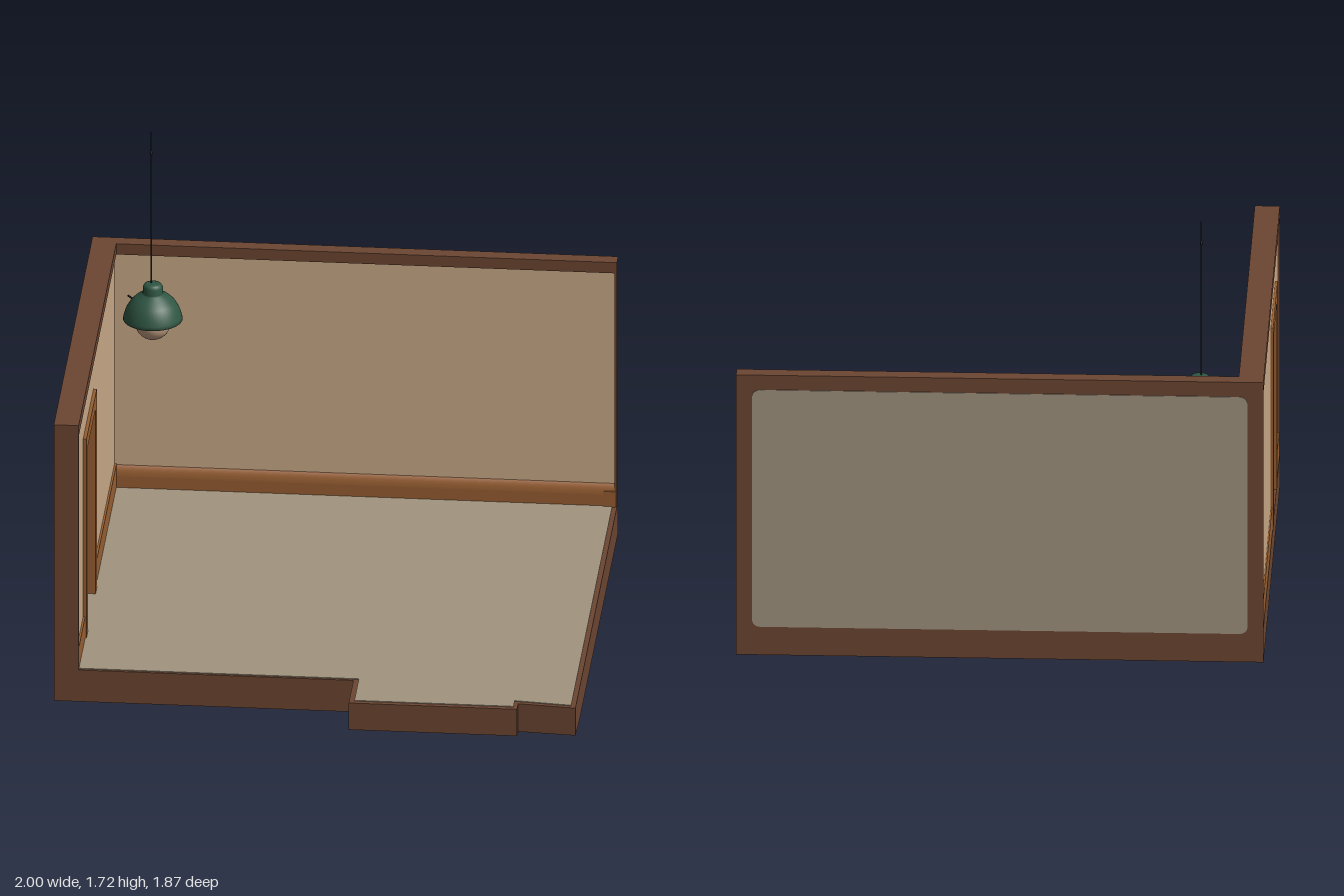
import * as THREE from 'three';

const mat = (name, color, side = THREE.FrontSide) => {
  const m = new THREE.MeshStandardMaterial({ color, side });
  m.name = name;
  return m;
};

export function createModel() {
  const brown = mat('dark wood', 0x6d4733);
  const wood = mat('orange wood', 0x985f32);
  const plaster = mat('tan plaster', 0xcbab89);
  const taupe = mat('taupe floor', 0xa29580);
  const green = mat('green enamel', 0x2f5643, THREE.DoubleSide);
  const bulbMat = mat('warm bulb', 0xc4a084);
  const dark = mat('black cord', 0x1c2220, THREE.DoubleSide);

  const model = new THREE.Group();
  model.name = 'roomCorner';

  const add = (parent, name, geo, material) => {
    const mesh = new THREE.Mesh(geo, material);
    mesh.name = name;
    parent.add(mesh);
    return mesh;
  };
  // Box given by its lowest and highest corner
  const box = (parent, name, material, [x0, y0, z0], [x1, y1, z1]) =>
    add(parent, name, new THREE.BoxGeometry(x1 - x0, y1 - y0, z1 - z0)
      .translate((x0 + x1) / 2, (y0 + y1) / 2, (z0 + z1) / 2), material);
  // Horizontal plate from an outline of [x, z] points
  const plate = (outline, y0, y1) => {
    const shape = new THREE.Shape(outline.map(([x, z]) => new THREE.Vector2(x, -z)));
    return new THREE.ExtrudeGeometry(shape, { depth: y1 - y0, bevelEnabled: false })
      .rotateX(-Math.PI / 2).translate(0, y0, 0);
  };
  const group = (name) => {
    const g = new THREE.Group();
    g.name = name;
    model.add(g);
    return g;
  };

  const F = 0.135, TOP = 1.16, BACK = -0.935, FRONT = 0.735;

  // Floor slab with a stepped front whose underside rises slightly
  const floor = group('floor');
  box(floor, 'slab', brown, [-1, 0.003, BACK], [1, F, FRONT]);
  const step = plate([[0.14, FRONT], [0.14, 0.935], [0.78, 0.935], [0.78, 0.885], [1, 0.905], [1, FRONT]], 0, F);
  const p = step.attributes.position;
  for (let i = 0; i < p.count; i++) {
    if (p.getY(i) < 0.01) p.setY(i, 0.003 + 0.02 * (p.getZ(i) - FRONT) / 0.2);
  }
  step.computeVertexNormals();
  add(floor, 'frontStep', step, brown);
  add(floor, 'floorSurface', plate([[-0.99, BACK + 0.02], [-0.99, 0.725], [0.16, 0.725], [0.16, 0.916],
    [0.765, 0.916], [0.765, 0.865], [0.982, 0.887], [0.982, BACK + 0.02]], F - 0.01, F + 0.003), taupe);
  box(floor, 'underside', taupe, [-0.98, 0, BACK + 0.02], [0.98, 0.006, FRONT - 0.01]);

  // Back wall: plaster inside, framed panel outside
  const backWall = group('backWall');
  box(backWall, 'core', brown, [-1, F, BACK], [1, TOP, -0.905]);
  box(backWall, 'plasterFace', plaster, [-0.92, F, -0.906], [0.992, 1.12, -0.895]);
  box(backWall, 'topTrim', brown, [-1, 1.115, -0.906], [1, TOP, -0.88]);
  box(backWall, 'endPost', brown, [0.99, F, -0.906], [1, TOP, -0.88]);
  const bx = 0.94, by0 = 0.12, by1 = 1.1, r = 0.035;
  const panel = new THREE.Shape();
  panel.moveTo(-bx + r, by0).lineTo(bx - r, by0).quadraticCurveTo(bx, by0, bx, by0 + r)
    .lineTo(bx, by1 - r).quadraticCurveTo(bx, by1, bx - r, by1)
    .lineTo(-bx + r, by1).quadraticCurveTo(-bx, by1, -bx, by1 - r)
    .lineTo(-bx, by0 + r).quadraticCurveTo(-bx, by0, -bx + r, by0);
  add(backWall, 'outerPanel', new THREE.ExtrudeGeometry(panel, { depth: 0.006, bevelEnabled: false })
    .translate(0, 0, BACK - 0.003), taupe);

  // Rounded skirting along the back wall
  const skirt = new THREE.Shape();
  skirt.moveTo(0, 0).lineTo(0.02, 0).lineTo(0.02, 0.05).quadraticCurveTo(0.018, 0.085, 0, 0.095).closePath();
  add(backWall, 'skirting', new THREE.ExtrudeGeometry(skirt, { depth: 1.9, bevelEnabled: false })
    .rotateY(-Math.PI / 2).scale(1, 1, 1).rotateY(Math.PI).rotateY(Math.PI)
    .translate(0.99, F, -0.9), wood);
  box(backWall, 'skirtingEnd', wood, [0.95, F, -0.9], [0.992, 0.2, -0.876]);

  // Left-hand wall with the doorway; trims stand proud on both faces
  const sideWall = group('doorWall');
  const doorZ0 = 0.01, doorZ1 = 0.455, openZ0 = 0.065, openZ1 = 0.395, doorTop = 0.972, openTop = 0.915;
  box(sideWall, 'wallRear', plaster, [-0.992, F, BACK + 0.01], [-0.913, 1.12, doorZ0 + 0.02]);
  box(sideWall, 'wallFront', plaster, [-0.992, F, doorZ1 - 0.02], [-0.913, 1.12, FRONT - 0.005]);
  box(sideWall, 'wallOverDoor', plaster, [-0.992, doorTop - 0.02, doorZ0], [-0.913, 1.12, doorZ1]);
  box(sideWall, 'topTrim', brown, [-1, 1.115, BACK], [-0.905, TOP, FRONT]);
  box(sideWall, 'frontPost', brown, [-1, F - 0.01, FRONT - 0.006], [-0.905, TOP, FRONT]);
  box(sideWall, 'cornerPost', brown, [-1, F, BACK], [-0.95, TOP, BACK + 0.015]);
  box(sideWall, 'skirtingRear', wood, [-0.998, F, BACK + 0.012], [-0.905, 0.23, doorZ0 + 0.01]);
  box(sideWall, 'skirtingFront', wood, [-0.998, F, doorZ1 - 0.01], [-0.905, 0.226, FRONT - 0.005]);

  // Door frame
  const frame = new THREE.Shape([[doorZ0, F], [openZ0, F], [openZ0, openTop], [openZ1, openTop],
    [openZ1, F], [doorZ1, F], [doorZ1, doorTop], [doorZ0, doorTop]].map(([z, y]) => new THREE.Vector2(-z, y)));
  add(sideWall, 'doorFrame', new THREE.ExtrudeGeometry(frame, { depth: 0.102, bevelEnabled: false })
    .rotateY(Math.PI / 2).translate(-1.002, 0, 0), wood);

  // Hanging lamp
  const lamp = group('lamp');
  lamp.position.set(-0.75, 0, -0.7);
  const profile = [[0.108, 0.945], [0.113, 0.938], [0.111, 0.952], [0.102, 0.98], [0.086, 1.008], [0.064, 1.03],
    [0.04, 1.042], [0.038, 1.048], [0.038, 1.072], [0.032, 1.082], [0.022, 1.086], [0, 1.086]];
  add(lamp, 'shade', new THREE.LatheGeometry(profile.map(([x, y]) => new THREE.Vector2(x, y)), 40), green);
  add(lamp, 'shadeUnderside', new THREE.CircleGeometry(0.109, 40).rotateX(Math.PI / 2).translate(0, 0.943, 0), green);
  add(lamp, 'bulb', new THREE.SphereGeometry(0.068, 32, 20).translate(0, 0.923, 0), bulbMat);
  add(lamp, 'cord', new THREE.PlaneGeometry(0.006, 0.635).translate(-0.006, 1.4025, 0), dark);
  add(lamp, 'cordKnot', new THREE.SphereGeometry(0.006, 10, 8).scale(0.8, 1.8, 0.8).translate(-0.006, 1.63, 0), dark);
  const rod = new THREE.LineCurve3(new THREE.Vector3(-0.06, 0.957, -0.09), new THREE.Vector3(-0.108, 0.955, -0.158));
  add(lamp, 'sideRod', new THREE.TubeGeometry(rod, 1, 0.004, 6), dark);

  return model;
}
